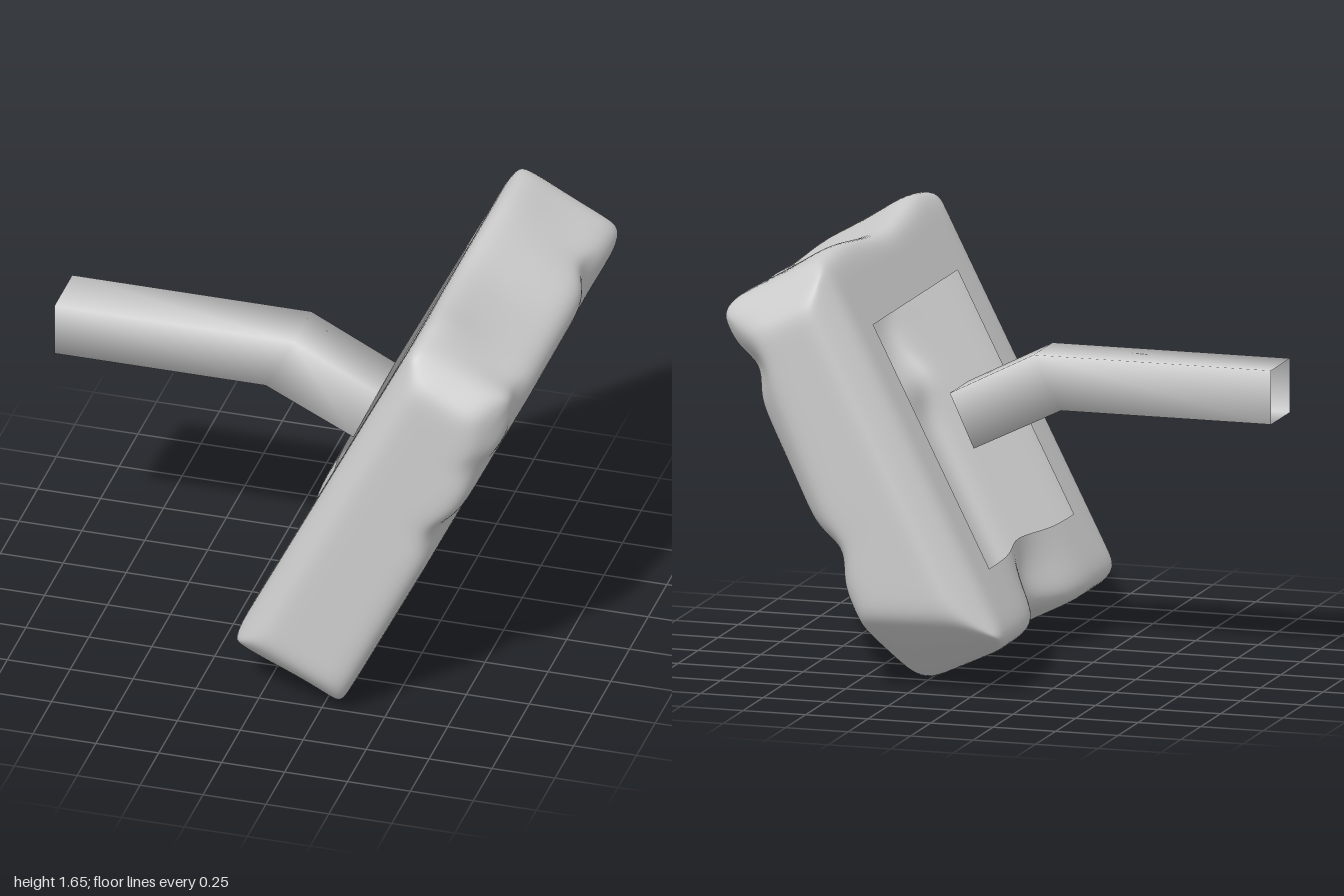
import * as THREE from 'three';
import { mergeVertices } from 'three/addons/utils/BufferGeometryUtils.js';

const material = new THREE.MeshStandardMaterial({ color: 0xcccccc, side: THREE.DoubleSide });

// Joins the seams so that normals run smoothly across edges
function weld(geometry) {
  geometry.deleteAttribute('uv');
  geometry.deleteAttribute('normal');
  return mergeVertices(geometry, 1e-5);
}

// Half size of the slab: x thickness, y length, z width
const HALF = new THREE.Vector3(0.244, 0.825, 0.825);
const ROUND = 0.07;

// Planes that shave the corners and edges: normal, distance
const CUTS = [
  [[0.325, -0.688, -0.648], 0.925],
  [[0, -0.7, 0.71], 1.06],
  [[-0.55, -0.6, 0.58], 1.02],
  [[0, 0.7, -0.71], 1.06],
  [[0.5, 0.6, -0.6], 1.03],
  [[0, 0.7, 0.71], 1.08],
  [[-0.75, 0, 0.66], 0.66],
  [[-0.75, 0, -0.66], 0.65],
  [[0.7, 0.05, -0.7], 0.69],
  [[0.7, 0.3, 0.65], 0.82],
  [[0.7, 0.7, 0], 0.715],
].map(([n, d]) => [new THREE.Vector3(...n).normalize(), d]);

// Dents and swellings: centre, push, spread along each axis
const DENTS = [
  [[-0.23, -0.75, 0.0], [0.1, 0.07, 0], [0.25, 0.25, 0.2]],
  [[-0.2, 0.8, 0.53], [0, 0.025, 0], [0.15, 0.12, 0.14]],
  [[-0.2, 0.8, -0.45], [0, 0.02, 0], [0.15, 0.12, 0.22]],
  [[-0.15, 0.8, 0.05], [0, -0.03, 0], [0.3, 0.1, 0.24]],
  [[0.24, 0.5, 0.8], [-0.04, 0, -0.01], [0.1, 0.06, 0.12]],
  [[0.24, 0.16, 0.78], [-0.05, 0, -0.01], [0.1, 0.08, 0.12]],
  [[0.24, 0.55, -0.72], [-0.06, 0, 0.01], [0.12, 0.07, 0.14]],
  [[0.24, -0.22, -0.74], [-0.06, 0, 0.01], [0.12, 0.08, 0.13]],
  [[0.2, 0.76, -0.36], [-0.06, -0.02, 0], [0.12, 0.09, 0.1]],
  [[0.2, 0.76, 0.6], [-0.04, -0.02, 0], [0.12, 0.09, 0.08]],
  [[0.24, -0.72, 0.52], [-0.04, 0, 0], [0.1, 0.07, 0.1]],
  [[0.24, -0.63, 0.38], [-0.035, 0, 0], [0.1, 0.07, 0.1]],
  [[0.24, -0.54, 0.24], [-0.025, 0, 0], [0.1, 0.07, 0.09]],
  [[0.1, -0.82, 0.0], [0, 0.02, 0], [0.2, 0.1, 0.2]],
  [[0.1, -0.82, 0.55], [0, 0.035, 0], [0.2, 0.1, 0.18]],
];

// Moves every vertex towards the mean of its neighbours
function relax(geometry, rounds) {
  const { array, count } = geometry.attributes.position;
  const index = geometry.index.array;
  for (let r = 0; r < rounds; r++) {
    const sum = new Float32Array(count * 3);
    const hits = new Uint16Array(count);
    for (let i = 0; i < index.length; i++) {
      const a = index[i];
      const b = index[i % 3 === 2 ? i - 2 : i + 1];
      for (const [from, to] of [[a, b], [b, a]]) {
        for (let k = 0; k < 3; k++) sum[to * 3 + k] += array[from * 3 + k];
        hits[to]++;
      }
    }
    for (let i = 0; i < count * 3; i++) {
      array[i] += 0.6 * (sum[i] / hits[Math.floor(i / 3)] - array[i]);
    }
  }
}

// Faces that remain once those whose centre passes the test are cut out
function facesWithout(geometry, isCut) {
  const position = geometry.attributes.position;
  const index = geometry.index.array;
  const kept = [];
  const centre = new THREE.Vector3();
  const corner = new THREE.Vector3();
  for (let i = 0; i < index.length; i += 3) {
    const face = [index[i], index[i + 1], index[i + 2]];
    centre.set(0, 0, 0);
    for (const v of face) centre.addScaledVector(corner.fromBufferAttribute(position, v), 1 / 3);
    if (!isCut(centre)) kept.push(...face);
  }
  return kept;
}

// Hollow stone shell, open at the back: rounded, shaved, dented, then softened
function slabGeometry() {
  const geometry = weld(new THREE.BoxGeometry(2 * HALF.x, 2 * HALF.y, 2 * HALF.z, 22, 72, 72));
  const faces = facesWithout(geometry, (c) =>
    c.x < -HALF.x + 1e-4 && Math.abs(c.y + 0.0125) < 0.5175 && Math.abs(c.z + 0.005) < 0.526);
  const position = geometry.attributes.position;
  const inner = HALF.clone().subScalar(ROUND);
  const outer = inner.clone().negate();
  const p = new THREE.Vector3();
  const core = new THREE.Vector3();
  for (let i = 0; i < position.count; i++) {
    p.fromBufferAttribute(position, i);
    core.copy(p).clamp(outer, inner);
    p.sub(core).setLength(ROUND).add(core);
    for (const [normal, distance] of CUTS) {
      const over = p.dot(normal) - distance;
      if (over > 0) p.addScaledVector(normal, -0.9 * over);
    }
    const start = p.clone();
    for (const [c, push, s] of DENTS) {
      const f = Math.exp(
        -(((start.x - c[0]) / s[0]) ** 2) - ((start.y - c[1]) / s[1]) ** 2 - ((start.z - c[2]) / s[2]) ** 2
      );
      p.x += push[0] * f;
      p.y += push[1] * f;
      p.z += push[2] * f;
    }
    position.setXYZ(i, p.x, p.y, p.z);
  }
  relax(geometry, 8);
  geometry.setIndex(faces);
  geometry.computeVertexNormals();
  return geometry;
}

// Open four-sided tube with one mitred bend
function handleGeometry() {
  const stations = [
    { x: -1, y: 1.105, upX: 0, upY: 0.105 },
    { x: -0.105, y: 1.105, upX: 0.055, upY: 0.105 },
    { x: 0.237, y: 0.935, upX: 0.048, upY: 0.105 },
  ];
  const geometry = weld(new THREE.BoxGeometry(2, 2, 0.24, 1, 2, 1));
  const walls = facesWithout(geometry, (c) => Math.abs(c.y) > 0.99);
  const position = geometry.attributes.position;
  for (let i = 0; i < position.count; i++) {
    const s = stations[Math.round(position.getY(i)) + 1];
    const up = -position.getX(i);
    position.setXYZ(i, s.x + s.upX * up, s.y + s.upY * up, position.getZ(i));
  }
  geometry.setIndex(walls);
  geometry.computeVertexNormals();
  return geometry;
}

export function createModel() {
  const group = new THREE.Group();

  const slab = new THREE.Mesh(slabGeometry(), material);
  slab.name = 'stoneSlab';
  slab.position.set(0.452, 0.817, 0);
  slab.rotation.z = -0.467;
  group.add(slab);

  const handle = new THREE.Mesh(handleGeometry(), material);
  handle.name = 'bentHandle';
  group.add(handle);

  return group;
}
